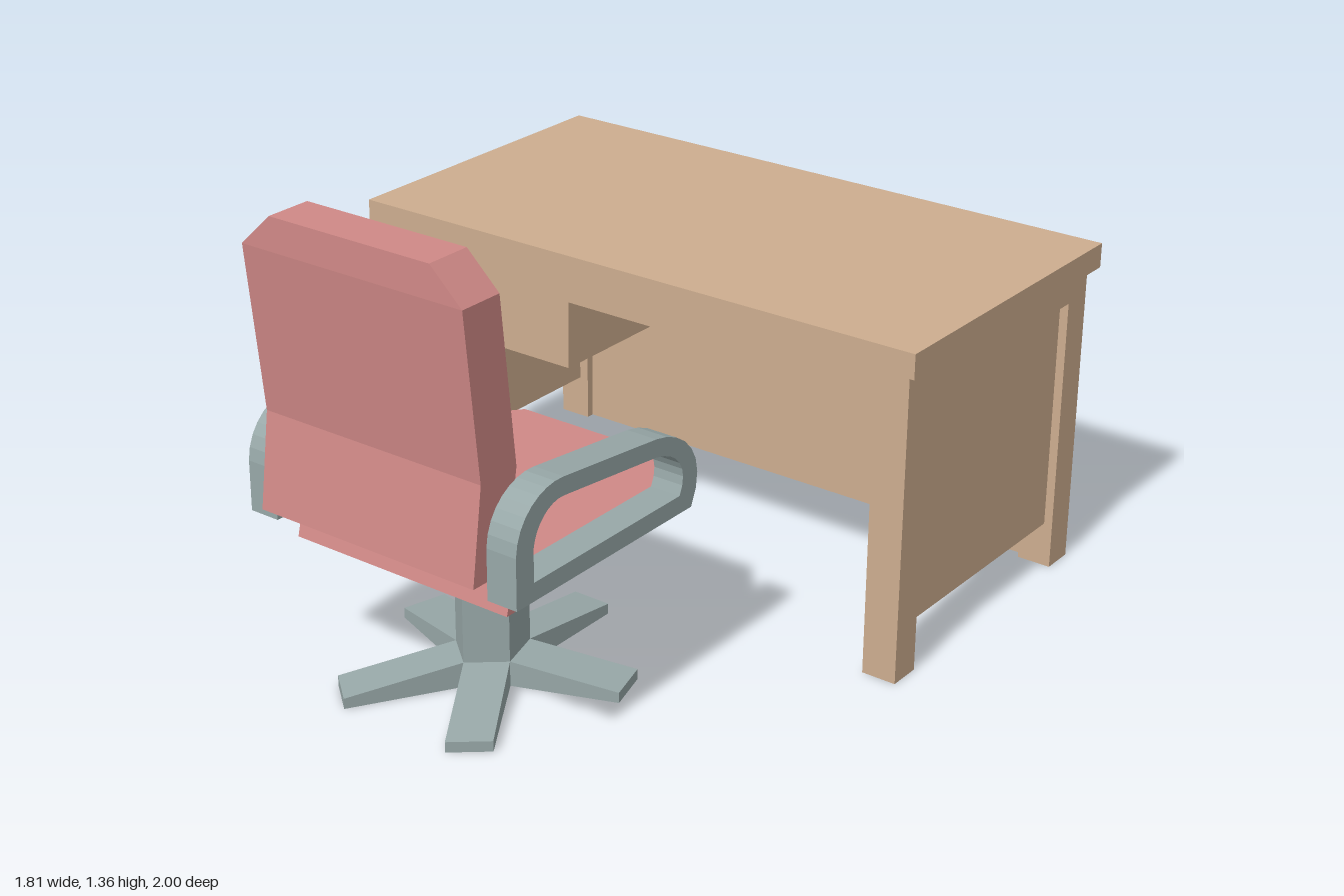
import * as THREE from 'three';

const material = (name, color) => {
  const m = new THREE.MeshStandardMaterial({ color });
  m.name = name;
  return m;
};

// Closed solid through cross-section loops, each counter-clockwise seen from the last section.
function loft(sections) {
  const pos = [];
  const tri = (a, b, c) => pos.push(...a, ...b, ...c);
  const n = sections[0].length;
  for (let s = 0; s < sections.length - 1; s++) {
    const a = sections[s], b = sections[s + 1];
    for (let i = 0; i < n; i++) {
      const j = (i + 1) % n;
      tri(a[i], a[j], b[j]);
      tri(a[i], b[j], b[i]);
    }
  }
  const first = sections[0], last = sections[sections.length - 1];
  for (let i = 1; i < n - 1; i++) {
    tri(first[0], first[i + 1], first[i]);
    tri(last[0], last[i], last[i + 1]);
  }
  const g = new THREE.BufferGeometry();
  g.setAttribute('position', new THREE.Float32BufferAttribute(pos, 3));
  g.computeVertexNormals();
  return g;
}

export function createModel() {
  const wood = material('wood', 0xcdad8f);
  const fabric = material('fabric', 0xd08987);
  const metal = material('metal', 0x98a8a8);

  const model = new THREE.Group();
  const desk = new THREE.Group();
  const chair = new THREE.Group();
  desk.name = 'desk';
  chair.name = 'chair';
  model.add(desk, chair);

  const add = (parent, name, geometry, mat) => {
    const mesh = new THREE.Mesh(geometry, mat);
    mesh.name = name;
    parent.add(mesh);
    return mesh;
  };
  // Box given by its limits on each axis
  const box = (name, x0, x1, y0, y1, z0, z1) => {
    const g = new THREE.BoxGeometry(x1 - x0, y1 - y0, z1 - z0);
    g.translate((x0 + x1) / 2, (y0 + y1) / 2, (z0 + z1) / 2);
    return add(desk, name, g, wood);
  };

  // Desk: top, legs, rails and recessed panels
  box('deskTop', -0.905, 0.905, 0.88, 0.95, -1, -0.04);
  for (const s of [-1, 1]) {
    const [x0, x1] = s > 0 ? [0.78, 0.88] : [-0.88, -0.78];
    box('frontLeg', x0, x1, 0, 0.88, -0.155, -0.06);
    box('backLeg', x0, x1, 0, 0.88, -0.975, -0.88);
    box('sideRail', x0, x1, 0.805, 0.88, -0.88, -0.155);
    const [p0, p1] = s > 0 ? [0.81, 0.855] : [-0.855, -0.81];
    box('sidePanel', p0, p1, 0.13, 0.805, -0.88, -0.155);
  }
  box('backRail', -0.78, 0.78, 0.805, 0.88, -0.975, -0.88);
  box('backPanel', -0.78, 0.78, 0, 0.805, -0.95, -0.905);
  box('frontRail', -0.2, 0.78, 0.805, 0.88, -0.155, -0.06);
  box('drawer', -0.78, -0.2, 0.61, 0.88, -0.88, -0.06);

  // Drawer handle: a shallow block tapering towards the front
  const rect = (x0, x1, y0, y1, z) => [[x0, y0, z], [x1, y0, z], [x1, y1, z], [x0, y1, z]];
  add(desk, 'drawerHandle', loft([
    rect(-0.6, -0.487, 0.718, 0.768, -0.06),
    rect(-0.595, -0.492, 0.718, 0.766, -0.045),
    rect(-0.578, -0.505, 0.722, 0.762, -0.033),
  ]), metal);

  // Seat: chamfered corners on the desk side, slanted rear edge
  const seatLoop = (y, rear) => [
    [-0.345, y, rear], [0.345, y, rear], [0.345, y, 0.185],
    [0.25, y, 0.07], [-0.25, y, 0.07], [-0.345, y, 0.185],
  ];
  add(chair, 'seat', loft([seatLoop(0.425, 0.865), seatLoop(0.52, 0.84)]), fabric);

  // Backrest: bent profile with a narrowed top
  const backLoop = ([y, w, z0, z1]) => [[-w, y, z1], [w, y, z1], [w, y, z0], [-w, y, z0]];
  add(chair, 'backrest', loft([
    [0.55, 0.345, 0.865, 0.985],
    [0.81, 0.345, 0.82, 0.95],
    [1.265, 0.345, 0.87, 1.0],
    [1.355, 0.25, 0.87, 1.0],
  ].map(backLoop)), fabric);

  // Armrests: rounded loops, drawn with z across and y up
  const arm = new THREE.Shape();
  arm.moveTo(0.24, 0.5);
  arm.lineTo(0.935, 0.5);
  arm.lineTo(0.935, 0.64);
  arm.bezierCurveTo(0.93, 0.74, 0.84, 0.795, 0.755, 0.785);
  arm.lineTo(0.39, 0.745);
  arm.bezierCurveTo(0.27, 0.73, 0.165, 0.63, 0.24, 0.5);
  const hole = new THREE.Path();
  hole.moveTo(0.29, 0.55);
  hole.bezierCurveTo(0.25, 0.62, 0.3, 0.68, 0.39, 0.695);
  hole.lineTo(0.755, 0.735);
  hole.bezierCurveTo(0.81, 0.74, 0.86, 0.7, 0.87, 0.64);
  hole.lineTo(0.87, 0.55);
  hole.closePath();
  arm.holes.push(hole);
  for (const [name, outer] of [['leftArmrest', 0.435], ['rightArmrest', -0.345]]) {
    const g = new THREE.ExtrudeGeometry(arm, { depth: 0.09, bevelEnabled: false, curveSegments: 8 });
    g.rotateY(-Math.PI / 2);
    g.translate(outer, 0, 0);
    add(chair, name, g, metal);
  }

  // Pedestal: five-sided column with a foot on each side, slightly narrow in x
  const pedestal = new THREE.Group();
  pedestal.name = 'pedestal';
  pedestal.position.z = 0.523;
  pedestal.scale.x = 0.865;
  chair.add(pedestal);
  const column = new THREE.CylinderGeometry(0.112, 0.112, 0.425, 5).toNonIndexed();
  column.computeVertexNormals();
  column.translate(0, 0.2125, 0);
  add(pedestal, 'column', column, metal);
  const foot = loft([rect(-0.066, 0.066, 0, 0.072, 0.0906), rect(-0.066, 0.066, 0, 0.03, 0.427)]);
  for (let i = 0; i < 5; i++) {
    add(pedestal, 'foot', foot, metal).rotation.y = Math.PI + (i * Math.PI * 2) / 5;
  }

  return model;
}
